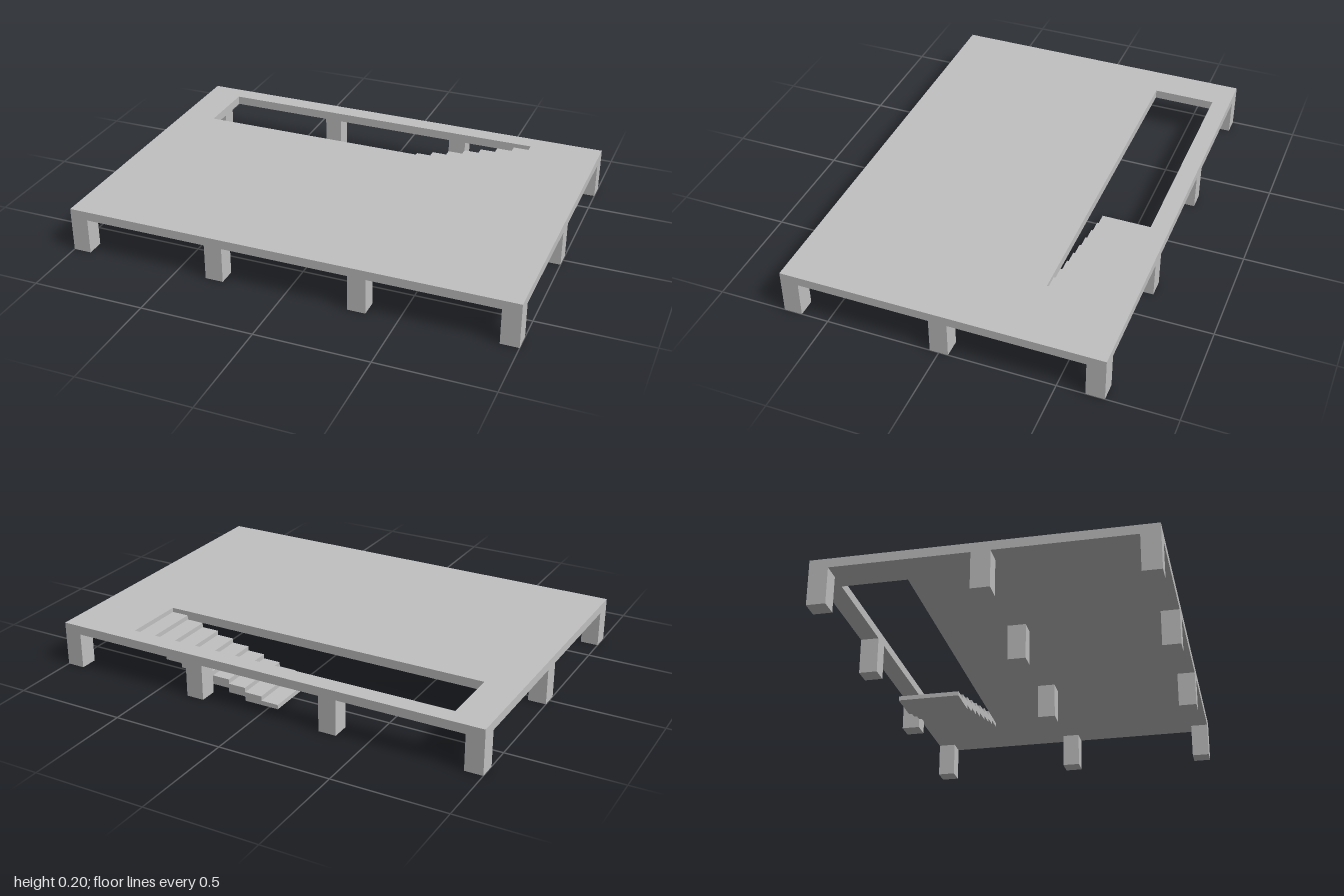
import * as THREE from 'three';

export function createModel() {
  const model = new THREE.Group();
  model.name = 'raisedPlatform';
  const concrete = new THREE.MeshStandardMaterial({ color: 0xc0c0c0 });
  concrete.name = 'light grey concrete';

  // Box given by its lowest and highest corners
  function block(name, [x0, y0, z0], [x1, y1, z1], parent) {
    const mesh = new THREE.Mesh(new THREE.BoxGeometry(x1 - x0, y1 - y0, z1 - z0), concrete);
    mesh.position.set((x0 + x1) / 2, (y0 + y1) / 2, (z0 + z1) / 2);
    mesh.name = name;
    parent.add(mesh);
  }

  const rectangle = (Type, x0, y0, x1, y1) => new Type([
    new THREE.Vector2(x0, y0), new THREE.Vector2(x1, y0),
    new THREE.Vector2(x1, y1), new THREE.Vector2(x0, y1),
  ]);

  // Floor slab with the stairwell opening; shape y becomes -z
  const slabShape = rectangle(THREE.Shape, -1, -0.7, 1, 0.7);
  slabShape.holes.push(rectangle(THREE.Path, -0.84, 0.34, 0.68, 0.62));
  const slabGeometry = new THREE.ExtrudeGeometry(slabShape, { depth: 0.04, bevelEnabled: false });
  slabGeometry.rotateX(-Math.PI / 2);
  const slab = new THREE.Mesh(slabGeometry, concrete);
  slab.position.y = 0.16;
  slab.name = 'floorSlab';
  model.add(slab);

  // Grid of square pillars
  const pillars = new THREE.Group();
  pillars.name = 'pillars';
  for (const x of [-0.96, -0.32, 0.32, 0.96]) {
    for (const z of [-0.66, 0, 0.66]) {
      block('pillar', [x - 0.04, 0, z - 0.04], [x + 0.04, 0.16, z + 0.04], pillars);
    }
  }
  model.add(pillars);

  // Overlapping treads climbing to the end of the opening
  const stairs = new THREE.Group();
  stairs.name = 'stairs';
  for (let i = 0; i < 9; i++) {
    const x = -0.04 + 0.08 * i;
    block('stairTread', [x, 0.02 * i, -0.62], [Math.min(x + 0.16, 0.68), 0.02 * (i + 1), -0.34], stairs);
  }
  model.add(stairs);

  return model;
}
